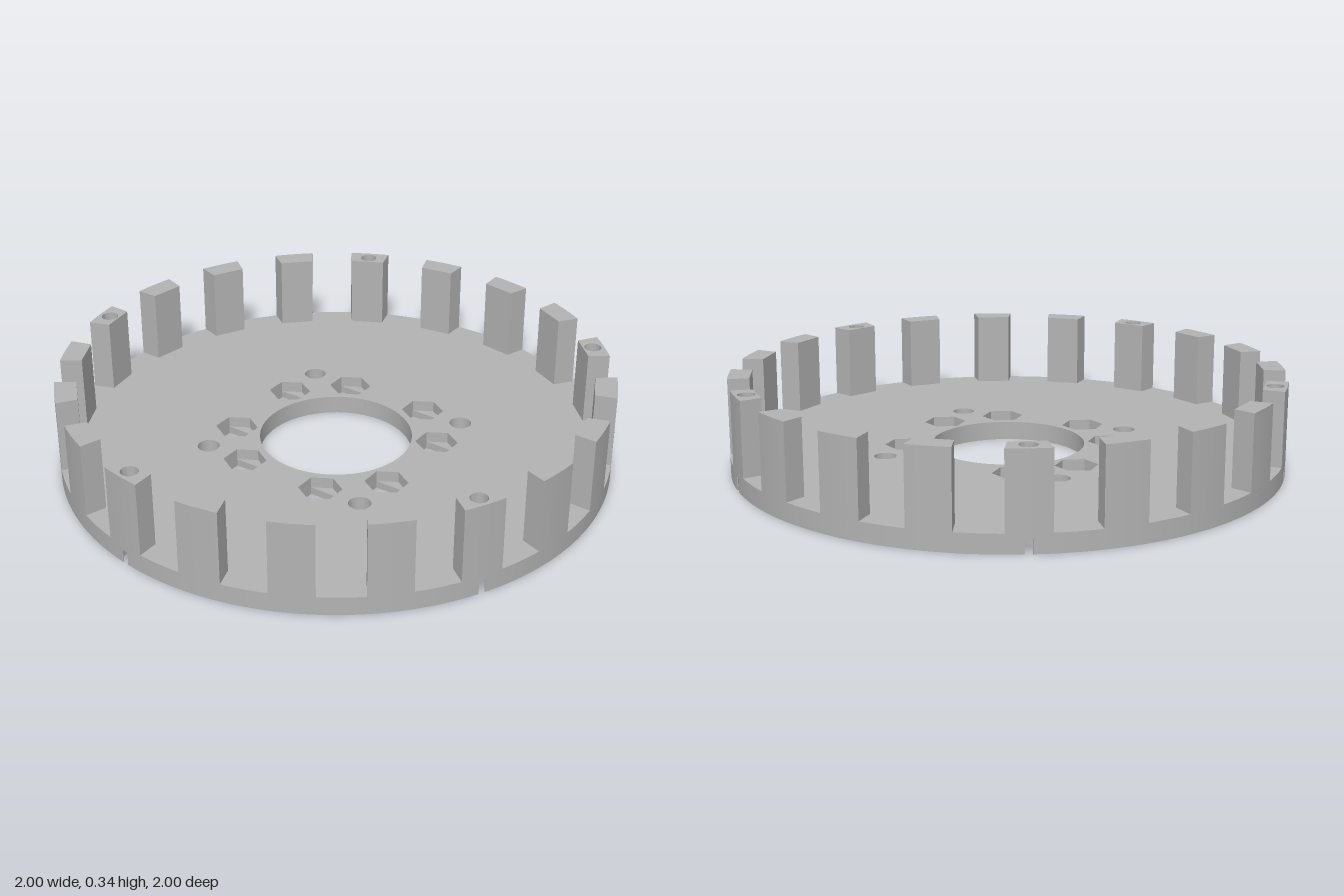
import * as THREE from 'three';
import { toCreasedNormals } from 'three/addons/utils/BufferGeometryUtils.js';

const TAU = Math.PI * 2;
const rad = THREE.MathUtils.degToRad;

// Heights of the steps through the disc and up the teeth
const LEDGE = 0.027, BORE_TOP = 0.05, DISC_TOP = 0.068, TOOTH_TOP = 0.34;
const PIN_ANGLES = [27, 99, 171, 243, 315];
const PIN_RADIUS = 0.957;

// Points along a circular arc
function arc(cx, cy, r, from, to, n) {
  const pts = [];
  for (let i = 0; i <= n; i++) {
    const a = from + (to - from) * i / n;
    pts.push(new THREE.Vector2(cx + r * Math.cos(a), cy + r * Math.sin(a)));
  }
  return pts;
}

function circle(cx, cy, r, n) {
  return new THREE.Path(arc(cx, cy, r, 0, TAU, n).slice(0, -1));
}

function polygon(cx, cy, corners) {
  return new THREE.Path(corners.map(([x, y]) => new THREE.Vector2(cx + x, cy + y)));
}

function pinCentre(deg) {
  return [PIN_RADIUS * Math.cos(rad(deg)), PIN_RADIUS * Math.sin(rad(deg))];
}

// Extrude a plan shape upward from y0 to y1
function slab(shape, y0, y1) {
  const g = new THREE.ExtrudeGeometry(shape, { depth: y1 - y0, bevelEnabled: false, curveSegments: 24 });
  g.rotateX(-Math.PI / 2);
  g.translate(0, y0, 0);
  return toCreasedNormals(g, rad(28));
}

// Rim outline with five keyhole notches: a counterbore joined to the edge by a narrow slot
function notchedOutline() {
  const half = 0.0125, bore = 0.041;
  const delta = Math.asin(half), beta = Math.asin(half / bore);
  const pts = [];
  PIN_ANGLES.forEach((deg) => {
    const a = rad(deg);
    const [cx, cy] = pinCentre(deg);
    pts.push(...arc(cx, cy, bore, a - beta, a - TAU + beta, 28));
    pts.push(...arc(0, 0, 1, a + delta, a + rad(72) - delta, 40));
  });
  return new THREE.Shape(pts);
}

// Centre bore, bolt holes and eight nut pockets
function addMiddleHoles(shape, pocket) {
  shape.holes.push(circle(0, 0, 0.278, 96));
  for (const sx of [-1, 1]) for (const sy of [-1, 1]) {
    shape.holes.push(circle(sx * 0.331, sy * 0.331, 0.04, 32));
    shape.holes.push(polygon(sx * 0.165, sy * 0.331, pocket));
    shape.holes.push(polygon(sx * 0.331, sy * 0.165, pocket));
  }
  return shape;
}

// Tooth pointing along +x, flaring outward to the rim
function toothShape(withHole) {
  const inner = 0.92, halfIn = 0.063, end = Math.asin(0.0765);
  const pts = [new THREE.Vector2(inner, halfIn), new THREE.Vector2(inner, -halfIn),
    ...arc(0, 0, 1, -end, end, 6)];
  const shape = new THREE.Shape(pts);
  if (withHole) shape.holes.push(circle(PIN_RADIUS, 0, 0.031, 28));
  return shape;
}

export function createModel() {
  const model = new THREE.Group();
  model.name = 'toothedDisc';
  const grey = new THREE.MeshStandardMaterial({ color: 0xb3b3b3 });
  grey.name = 'plain grey';

  const add = (name, geometry) => {
    const mesh = new THREE.Mesh(geometry, grey);
    mesh.name = name;
    model.add(mesh);
    return mesh;
  };

  const hex = [[0.077, 0], [0.0385, 0.067], [-0.0385, 0.067], [-0.077, 0], [-0.0385, -0.067], [0.0385, -0.067]];
  const slot = [[0.0385, 0.067], [-0.0385, 0.067], [-0.0385, -0.067], [0.0385, -0.067]];

  // Disc in three layers, so pockets and counterbores step inside it
  add('discBottom', slab(addMiddleHoles(notchedOutline(), slot), 0, LEDGE));
  add('discMiddle', slab(addMiddleHoles(notchedOutline(), hex), LEDGE, BORE_TOP));
  const top = addMiddleHoles(new THREE.Shape(arc(0, 0, 1, 0, TAU, 200).slice(0, -1)), hex);
  PIN_ANGLES.forEach((deg) => top.holes.push(circle(...pinCentre(deg), 0.031, 28)));
  add('discTop', slab(top, BORE_TOP, DISC_TOP));

  // Ring of twenty teeth, every fourth one drilled
  const plain = slab(toothShape(false), DISC_TOP, TOOTH_TOP);
  const drilled = slab(toothShape(true), DISC_TOP, TOOTH_TOP);
  for (let i = 0; i < 20; i++) {
    const deg = 9 + 18 * i;
    const hasHole = PIN_ANGLES.includes(deg);
    add(hasHole ? 'drilledTooth' : 'tooth', hasHole ? drilled : plain).rotation.y = rad(deg);
  }
  return model;
}
